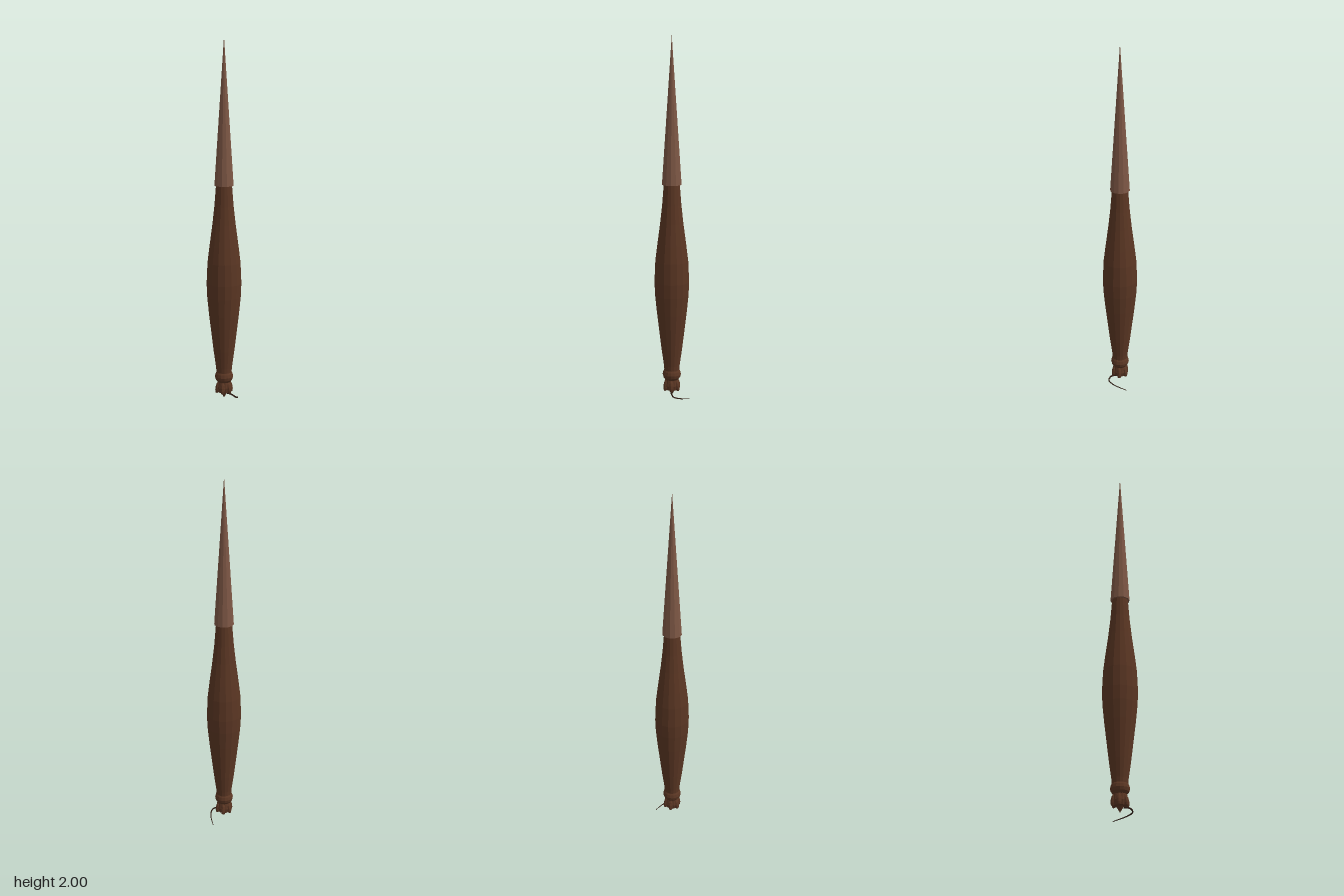
import * as THREE from 'three';

const mat = (name, color) => {
  const m = new THREE.MeshStandardMaterial({ color, flatShading: true });
  m.name = name;
  return m;
};

export function createModel() {
  const group = new THREE.Group();
  const darkWood = mat('darkBrown', 0x5a3623);
  const paleWood = mat('lightBrown', 0x7d5745);
  const cord = mat('blackBrown', 0x2e1c13);
  const AXIS = -0.002;

  const add = (name, geometry, material, x = AXIS, y = 0, z = 0) => {
    const mesh = new THREE.Mesh(geometry, material);
    mesh.name = name;
    mesh.position.set(x, y, z);
    group.add(mesh);
    return mesh;
  };
  const lathe = (points, sides) =>
    new THREE.LatheGeometry(points.map(([r, y]) => new THREE.Vector2(r, y)), sides);

  // Long pointed cap
  add('spike', new THREE.ConeGeometry(0.053, 0.79, 12), paleWood, AXIS, 1.605);

  // Swollen spindle body
  add('body', lathe([
    [0, 0.14], [0.04, 0.15], [0.044, 0.2], [0.058, 0.3], [0.07, 0.4], [0.082, 0.5],
    [0.092, 0.6], [0.095, 0.675], [0.09, 0.79], [0.079, 0.88], [0.063, 1.0],
    [0.052, 1.1], [0.043, 1.215], [0, 1.22],
  ], 16), darkWood);

  // Rounded collar under the body
  add('collar', lathe([
    [0, 0.118], [0.036, 0.118], [0.047, 0.132], [0.051, 0.148], [0.047, 0.165],
    [0.038, 0.18], [0, 0.182],
  ], 16), darkWood);

  // Flared foot with lobes around it
  add('foot', lathe([
    [0, 0.055], [0.036, 0.06], [0.042, 0.085], [0.036, 0.12], [0, 0.125],
  ], 12), darkWood);
  for (let i = 0; i < 6; i++) {
    const a = (i / 6) * Math.PI * 2;
    const lobe = add('footLobe', new THREE.SphereGeometry(1, 8, 6), darkWood,
      AXIS + Math.sin(a) * 0.036, 0.087, Math.cos(a) * 0.036);
    lobe.scale.set(0.014, 0.034, 0.014);
    lobe.rotation.set(-0.2, a, 0, 'YXZ');
  }

  // Small point below the foot
  const tip = add('bottomPoint', new THREE.ConeGeometry(0.022, 0.035, 8), darkWood, AXIS, 0.043);
  tip.rotation.x = Math.PI;

  // Curling tail, thinned towards its end
  const curve = new THREE.CatmullRomCurve3([
    [0, 0.055, 0.02], [0, 0.054, 0.055], [0.012, 0.04, 0.075],
    [0.045, 0.026, 0.06], [0.078, 0.013, 0.025], [0.096, 0.004, 0],
  ].map((p) => new THREE.Vector3(...p)));
  const SEG = 24, RADIAL = 6;
  const tail = new THREE.TubeGeometry(curve, SEG, 0.005, RADIAL);
  const pos = tail.attributes.position;
  const v = new THREE.Vector3();
  for (let i = 0; i < pos.count; i++) {
    const t = Math.floor(i / (RADIAL + 1)) / SEG;
    const c = curve.getPointAt(t);
    v.fromBufferAttribute(pos, i).sub(c).multiplyScalar(1 - 0.65 * t).add(c);
    pos.setXYZ(i, v.x, v.y, v.z);
  }
  tail.computeVertexNormals();
  add('tail', tail, cord, 0);

  return group;
}
